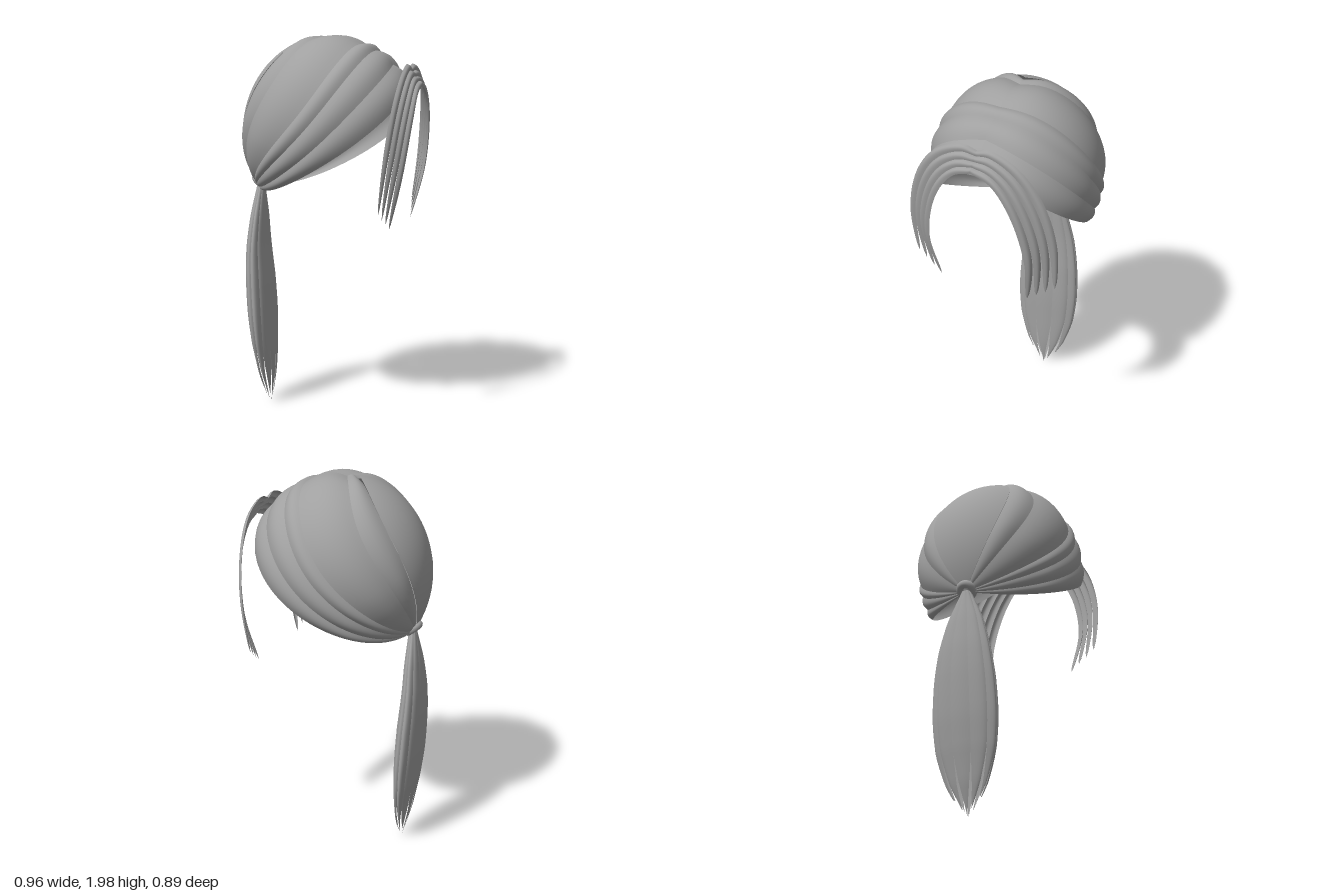
import * as THREE from 'three';

const V = (x, y, z) => new THREE.Vector3(x, y, z);
const hair = new THREE.MeshStandardMaterial({ color: 0xa0a0a0, side: THREE.DoubleSide });
hair.name = 'grey hair';

// Smooth sheet from a rule fn(u, v) -> Vector3
function sheet(fn, nu, nv) {
  const pos = [], idx = [];
  for (let i = 0; i <= nu; i++)
    for (let j = 0; j <= nv; j++) pos.push(...fn(i / nu, j / nv).toArray());
  for (let i = 0; i < nu; i++)
    for (let j = 0; j < nv; j++) {
      const a = i * (nv + 1) + j, b = a + nv + 1;
      idx.push(a, b, a + 1, b, b + 1, a + 1);
    }
  const g = new THREE.BufferGeometry();
  g.setAttribute('position', new THREE.Float32BufferAttribute(pos, 3));
  g.setIndex(idx);
  g.computeVertexNormals();
  return g;
}

function add(parent, name, geometry) {
  const m = new THREE.Mesh(geometry, hair);
  m.name = name;
  parent.add(m);
  return m;
}

// Skull ellipsoid on which the cap is laid
const C = V(-0.005, 1.5, 0), R = V(0.465, 0.485, 0.43);
const unit = (x, y) => {
  const a = (x - C.x) / R.x, b = (y - C.y) / R.y;
  return V(a, b, Math.sqrt(Math.max(0, 1 - a * a - b * b))).normalize();
};
const flat = (x, y) => unit(x, y).setZ(0).normalize();
const TIE = flat(-0.41, 1.2);

// Point on the arc from the tie through m to f, scaled by r
function capPoint(m, f, s, r) {
  const p = V(0, 0, 0)
    .addScaledVector(TIE, (1 - s) * (1 - 2 * s))
    .addScaledVector(m, 4 * s * (1 - s))
    .addScaledVector(f, s * (2 * s - 1))
    .normalize();
  return p.multiplyScalar(r + 0.07 * (1 - s) ** 6).multiply(R).add(C);
}

function makeCap() {
  const cap = new THREE.Group();
  cap.name = 'cap';
  // Strip edges: end on the parting (x, y), side point (x, y)
  const edges = [
    [0.38, 1.72, 0.0, 1.31], [0.34, 1.86, 0.02, 1.43], [0.24, 1.93, -0.02, 1.53],
    [0.17, 1.96, -0.06, 1.6], [-0.04, 1.98, -0.25, 1.72], [-0.1, 1.97, -0.33, 1.76],
  ].map(([fx, fy, mx, my]) => ({ f: flat(fx, fy), m: unit(mx, my) }));

  for (const side of [1, -1])
    for (let i = 0; i < edges.length - 1; i++) {
      const a = edges[i], b = edges[i + 1];
      add(cap, 'capStrip', sheet((s, v) => {
        const fade = Math.min(1, s * 4);
        const dip = 0.03 * Math.exp(-(((1 - s) / 0.07) ** 2));
        const bump = 0.03 * fade * Math.sin(Math.PI * v);
        const p = capPoint(a.m.clone().lerp(b.m, v), a.f.clone().lerp(b.f, v), s, 1.005 + bump - dip);
        p.z *= side;
        return p;
      }, 40, 8));
    }

  // Smooth panel over the back of the head
  const edge = edges[edges.length - 1], mid = flat(-0.42, 1.72);
  add(cap, 'backPanel', sheet((s, v) => {
    const w = 2 * v - 1;
    const m = mid.clone().lerp(edge.m, w * w);
    m.z = edge.m.z * w;
    return capPoint(m.normalize(), edge.f, s, 1.012);
  }, 40, 24));
  return cap;
}

function makeFringe() {
  const fringe = new THREE.Group();
  fringe.name = 'fringe';
  const inner = new THREE.CatmullRomCurve3([
    V(0.47, 1.73, 0), V(0.47, 1.69, 0.1), V(0.465, 1.55, 0.2), V(0.43, 1.28, 0.265), V(0.36, 1.0, 0.23)]);
  const outer = new THREE.CatmullRomCurve3([
    V(0.4, 1.82, 0), V(0.405, 1.84, 0.07), V(0.405, 1.78, 0.22), V(0.39, 1.63, 0.34),
    V(0.365, 1.4, 0.41), V(0.33, 1.12, 0.42)]);
  const N = 4;
  for (const side of [1, -1])
    for (let i = 0; i < N; i++)
      add(fringe, 'fringeLock', sheet((t, v) => {
        // each lock narrows to its own point
        const taper = t < 0.7 ? 1 : Math.sqrt(Math.max(0, 1 - ((t - 0.7) / 0.3) ** 2));
        const u = (i + 0.35 + (v - 0.35) * taper) / N;
        const p = inner.getPoint(t).lerp(outer.getPoint(t), u);
        const out = 0.014 * Math.sin(Math.PI * v) * taper;
        p.add(V(0.7, 0.4 * (1 - t), 0.6 * Math.min(1, t * 3)).multiplyScalar(out));
        p.z *= side;
        return p;
      }, 36, 6));
  return fringe;
}

function makePonytail() {
  const tail = new THREE.Group();
  tail.name = 'ponytail';
  // Centre line x, half depth and half width, read from top to tip
  const rows = new THREE.CatmullRomCurve3([
    V(-0.405, 0.02, 0.025), V(-0.415, 0.04, 0.1), V(-0.42, 0.052, 0.145), V(-0.412, 0.06, 0.17),
    V(-0.402, 0.06, 0.178), V(-0.39, 0.05, 0.165), V(-0.375, 0.034, 0.115), V(-0.36, 0.004, 0.015)]);
  const N = 10;
  for (let i = 0; i < N; i++) {
    const a0 = (i / N) * Math.PI * 2;
    const tip = 0.01 + 0.1 * Math.abs(Math.sin(a0)) ** 2;
    add(tail, 'tailLock', sheet((t, v) => {
      const y = THREE.MathUtils.lerp(1.2, tip, t);
      const k = rows.getPoint((1.2 - y) / 1.2);
      const taper = t < 0.65 ? 1 : Math.sqrt(Math.max(0, 1 - ((t - 0.65) / 0.35) ** 2));
      const a = a0 + (v - 0.5) * taper * (Math.PI * 2.1 / N);
      const r = 0.95 + 0.07 * Math.sin(Math.PI * v);
      return V(k.x + Math.cos(a) * k.y * r, y, Math.sin(a) * k.z * r);
    }, 36, 6));
  }
  return tail;
}

export function createModel() {
  const model = new THREE.Group();
  model.name = 'ponytailHair';
  model.add(makeCap(), makeFringe(), makePonytail());

  // Band around the gathered hair
  const band = add(model, 'hairBand', new THREE.TorusGeometry(0.035, 0.021, 14, 32));
  band.position.set(-0.405, 1.21, 0);
  band.quaternion.setFromUnitVectors(V(0, 0, 1), V(0.6, 0.8, 0).normalize());
  return model;
}
